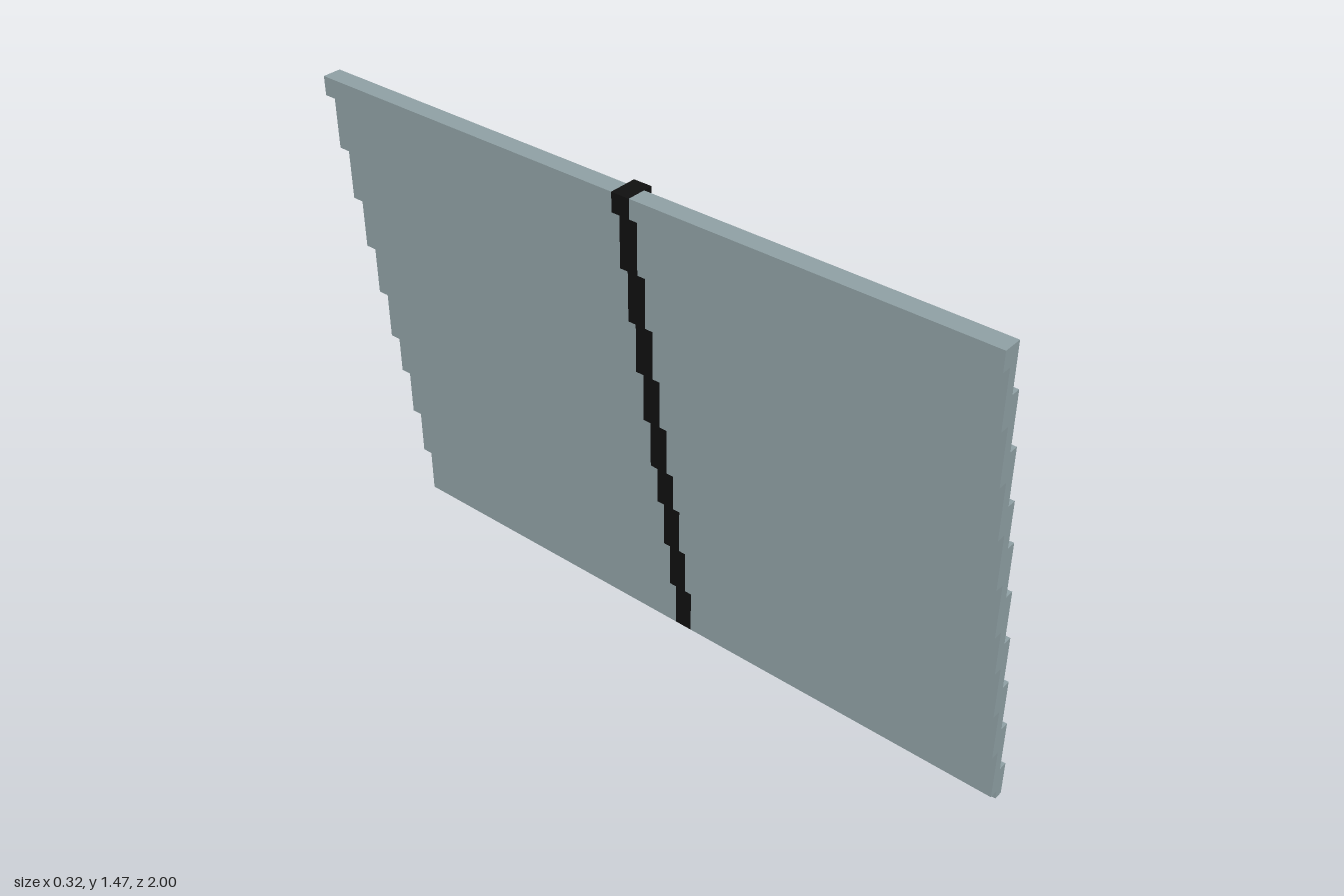
import * as THREE from 'three';

const U = 2 / 76; // one grid unit

// Heights at which each face steps one unit towards -x
const OUTER = [0, 4, 10, 16, 22, 28, 34, 39, 45, 51, 56];
const INNER = [0, 1, 7, 13, 19, 24, 30, 36, 42, 48, 54, 56];

// Corner points of a staircase line, climbing from x = startX
function stairs(heights, startX) {
  const points = [];
  for (let i = 0; i + 1 < heights.length; i++) {
    const x = (startX - i) * U;
    points.push(new THREE.Vector2(x, heights[i] * U), new THREE.Vector2(x, heights[i + 1] * U));
  }
  return points;
}

// Stepped slab between the inner face and an outer face, extruded along z
function steppedSlab(name, outerX, z0, z1, material) {
  const outline = [...stairs(OUTER, outerX), ...stairs(INNER, 4).reverse()];
  const geometry = new THREE.ExtrudeGeometry(new THREE.Shape(outline), {
    depth: z1 - z0,
    bevelEnabled: false,
  });
  geometry.translate(0, 0, z0);
  const mesh = new THREE.Mesh(geometry, material);
  mesh.name = name;
  return mesh;
}

export function createModel() {
  const grey = new THREE.MeshStandardMaterial({ color: 0x8fa0a4 });
  grey.name = 'blue grey';
  const black = new THREE.MeshStandardMaterial({ color: 0x101010 });
  black.name = 'black';

  const model = new THREE.Group();
  model.name = 'steppedPanel';
  // Two wide panels with a raised rib between them
  model.add(
    steppedSlab('frontPanel', 5, U, 1, grey),
    steppedSlab('backPanel', 5, -1, -U, grey),
    steppedSlab('centreRib', 6, -U, U, black),
  );
  return model;
}
